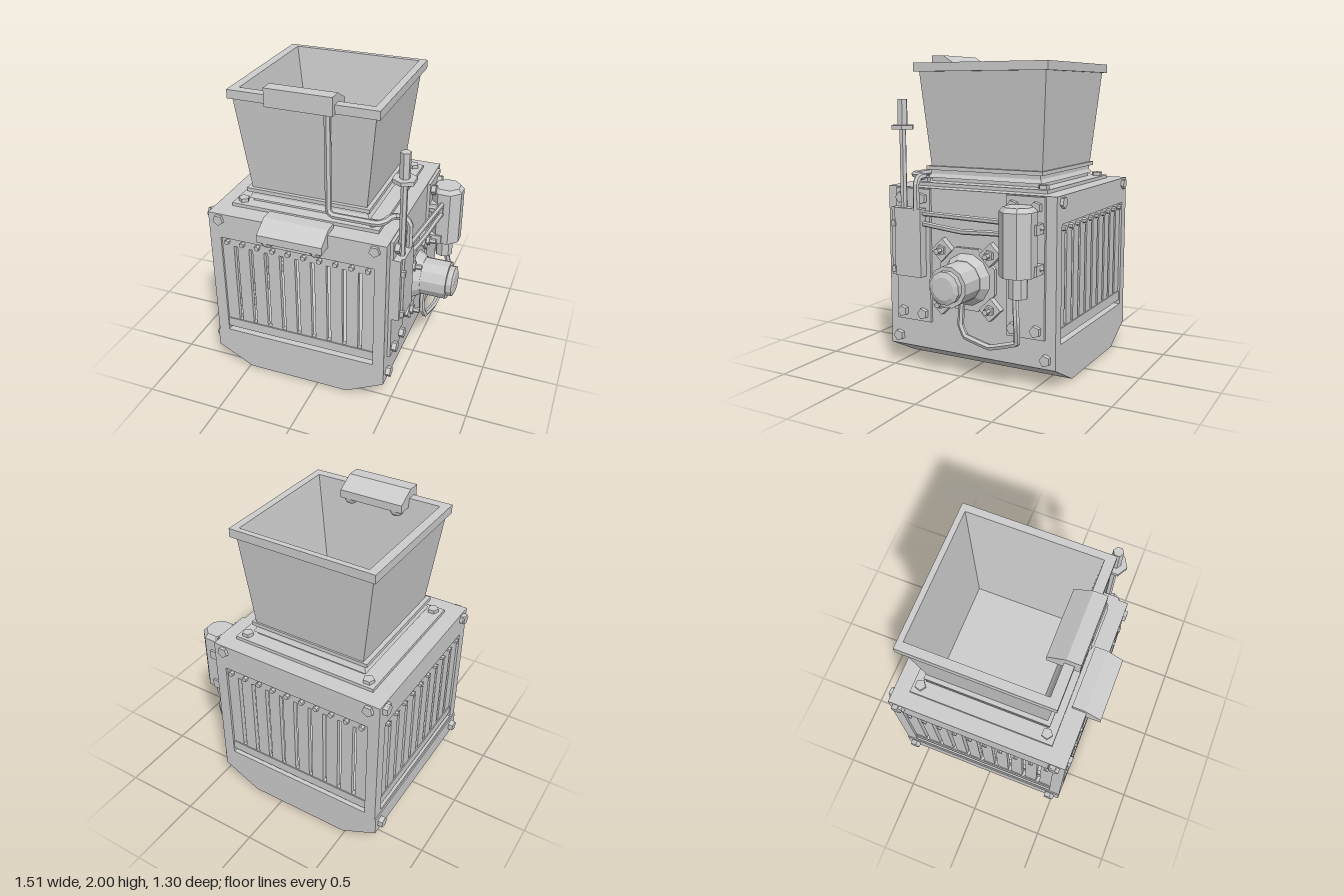
import * as THREE from 'three';

const mat = new THREE.MeshStandardMaterial({ color: 0xcccccc, flatShading: true });
const thin = new THREE.MeshStandardMaterial({ color: 0xcccccc, flatShading: true, side: THREE.DoubleSide });

// Body limits
const X0 = -0.717, X1 = 0.458, Z0 = -0.63, Z1 = 0.55, CX = (X0 + X1) / 2, CZ = (Z0 + Z1) / 2;

function add(parent, name, geo, m = mat) {
  const mesh = new THREE.Mesh(geo, m);
  mesh.name = name;
  parent.add(mesh);
  return mesh;
}

// Box given by its limits
function box(parent, name, x0, x1, y0, y1, z0, z1) {
  const b = add(parent, name, new THREE.BoxGeometry(x1 - x0, y1 - y0, z1 - z0));
  b.position.set((x0 + x1) / 2, (y0 + y1) / 2, (z0 + z1) / 2);
  return b;
}

// Prism or cone whose axis starts at p and points along dir
function rod(parent, name, p, dir, len, r0, r1 = r0, sides = 8) {
  const d = new THREE.Vector3(...dir).normalize();
  const m = add(parent, name, new THREE.CylinderGeometry(r1, r0, len, sides));
  m.quaternion.setFromUnitVectors(new THREE.Vector3(0, 1, 0), d);
  m.position.set(...p).addScaledVector(d, len / 2);
  return m;
}

const bolt = (parent, p, dir, r = 0.036, len = 0.04) => rod(parent, 'bolt', p, dir, len, r, r, r > 0.03 ? 5 : 6);

// Skin through rectangular sections [y, x0, x1, z0, z1], closed at the last one
function loft(sections) {
  const pos = [], idx = [];
  for (const [y, a, b, c, d] of sections) pos.push(a, y, d, b, y, d, b, y, c, a, y, c);
  for (let s = 0; s < sections.length - 1; s++) {
    for (let i = 0; i < 4; i++) {
      const a = s * 4 + i, b = s * 4 + (i + 1) % 4;
      idx.push(a, b, b + 4, a, b + 4, a + 4);
    }
  }
  const e = (sections.length - 1) * 4;
  idx.push(e, e + 1, e + 2, e, e + 2, e + 3);
  const g = new THREE.BufferGeometry();
  g.setAttribute('position', new THREE.Float32BufferAttribute(pos, 3));
  g.setIndex(idx);
  const flat = g.toNonIndexed();
  flat.computeVertexNormals();
  return flat;
}

// Extruded outline, centred along its depth
function extrude(points, depth, holes = []) {
  const shape = new THREE.Shape(points.map(p => new THREE.Vector2(...p)));
  for (const h of holes) shape.holes.push(new THREE.Path(h.map(p => new THREE.Vector2(...p))));
  return new THREE.ExtrudeGeometry(shape, { depth, bevelEnabled: false }).translate(0, 0, -depth / 2);
}

const rect = (x0, x1, y0, y1) => [[x0, y0], [x1, y0], [x1, y1], [x0, y1]];

function hose(parent, name, pts, r) {
  const curve = new THREE.CatmullRomCurve3(pts.map(p => new THREE.Vector3(...p)), false, 'catmullrom', 0.1);
  return add(parent, name, new THREE.TubeGeometry(curve, 60, r, 6), thin);
}

// Slotted side panel, facing +z in its own frame with the body face at z = 0
function grille(parent, name) {
  const g = new THREE.Group();
  g.name = name;
  const slots = [];
  for (let i = 0; i < 9; i++) {
    const x = -0.42 + i * 0.105;
    slots.push(rect(x - 0.013, x + 0.013, 0.37, 0.94));
  }
  add(g, 'slats', extrude(rect(-0.515, 0.515, 0.3, 1.0), 0.03, slots)).position.z = -0.03;
  for (let i = 0; i < 10; i++) bolt(g, [-0.4725 + i * 0.105, 0.972, -0.02], [0, 0, 1], 0.017, 0.03);
  box(g, 'lowerBar', -0.515, 0.515, 0.3, 0.365, -0.05, -0.008);
  box(g, 'sill', -0.515, 0.515, 0.25, 0.272, -0.1, 0);
  box(g, 'sillBack', -0.515, 0.515, 0.25, 0.31, -0.1, -0.075);
  for (const s of [-1, 1]) bolt(g, [s * 0.515, 1.13, -0.01], [0, 0, 1], 0.036, 0.03);
  parent.add(g);
  return g;
}

// Housing with a sloped lid and two lamp domes, reaching towards +z
function lampBox(parent, name) {
  const g = new THREE.Group();
  g.name = name;
  const side = [[0, 0], [0.195, 0], [0.195, 0.05], [0.085, 0.115], [0, 0.115]];
  add(g, 'housing', extrude(side, 0.425)).rotation.y = -Math.PI / 2;
  for (const x of [-0.16, 0.16]) {
    const dome = add(g, 'lampDome', new THREE.SphereGeometry(0.046, 10, 4, 0, Math.PI * 2, Math.PI / 2, Math.PI / 2), thin);
    dome.position.set(x, 0, 0.148);
  }
  parent.add(g);
  return g;
}

export function createModel() {
  const root = new THREE.Group();
  root.name = 'hopperMachine';

  // Base with tapered underside
  const base = add(root, 'base', extrude(
    [[-0.485, 0], [0.205, 0], [0.458, 0.13], [0.458, 0.25], [-0.725, 0.25], [-0.725, 0.125]], Z1 - Z0));
  base.position.z = CZ;

  // Body frame: corner posts, header and solid right wall
  for (const [a, b] of [[X0, X0 + 0.075], [X1 - 0.075, X1]])
    for (const [c, d] of [[Z0, Z0 + 0.075], [Z1 - 0.075, Z1]]) box(root, 'cornerPost', a, b, 0.25, 1.0, c, d);
  box(root, 'header', X0, X1, 1.0, 1.17, Z0, Z1);
  box(root, 'rightWall', X1 - 0.06, X1, 0.25, 1.0, Z0, Z1);

  // Grilles on front, back and the -x side
  grille(root, 'frontGrille').position.set(CX, 0, Z1);
  const back = grille(root, 'backGrille');
  back.rotation.y = Math.PI;
  back.position.set(CX, 0, Z0);
  const side = grille(root, 'sideGrille');
  side.rotation.y = -Math.PI / 2;
  side.position.set(X0, 0, CZ);

  // Bolts on the base sides and on the +x top corners
  for (const z of [0.48, -0.57]) {
    bolt(root, [X0, 0.19, z], [-1, 0, 0]);
    bolt(root, [X1 - 0.01, 0.19, z], [1, 0, 0]);
    bolt(root, [X0, 1.13, z], [-1, 0, 0], 0.036, 0.03);
  }

  // Lid plate with corner bolts, stepped collar
  box(root, 'lidPlate', -0.612, 0.365, 1.17, 1.192, -0.525, 0.425);
  for (const x of [-0.555, 0.31]) for (const z of [0.37, -0.475]) bolt(root, [x, 1.19, z], [0, 1, 0], 0.036, 0.025);
  add(root, 'collar', loft([
    [1.19, -0.5, 0.265, -0.43, 0.345], [1.215, -0.5, 0.265, -0.43, 0.345], [1.215, -0.52, 0.285, -0.45, 0.365],
    [1.24, -0.505, 0.27, -0.435, 0.35], [1.265, -0.505, 0.27, -0.435, 0.35], [1.265, -0.528, 0.288, -0.455, 0.375],
    [1.29, -0.528, 0.288, -0.455, 0.375], [1.29, -0.48, 0.24, -0.42, 0.33], [1.2, -0.42, 0.188, -0.386, 0.27]]));

  // Hopper: outer walls, rim, inner walls and floor in one skin
  add(root, 'hopper', loft([
    [1.285, -0.498, 0.262, -0.443, 0.35], [1.89, -0.572, 0.327, -0.492, 0.395],
    [1.89, -0.595, 0.357, -0.517, 0.42], [1.945, -0.595, 0.357, -0.517, 0.42],
    [1.945, -0.54, 0.31, -0.482, 0.36], [1.205, -0.42, 0.188, -0.386, 0.29]]), thin);

  // Lamp housings: one over the rim facing inwards, one on the body front
  const upper = lampBox(root, 'rimLampBox');
  upper.rotation.y = Math.PI;
  upper.position.set(-0.125, 1.885, 0.455);
  lampBox(root, 'frontLampBox').position.set(-0.125, 1.085, 0.453);

  // Mounting plates on the right wall
  for (const [z0, z1] of [[0.23, 0.483], [-0.563, -0.31]]) {
    box(root, 'mountPlate', X1 - 0.01, X1 + 0.02, 0.31, 1.165, z0, z1);
    for (const z of [z0 + 0.05, z1 - 0.05]) for (const y of [0.365, 1.105]) bolt(root, [X1 + 0.01, y, z], [1, 0, 0]);
  }

  // Motor with stepped rings and four bolted ears
  const my = 0.625, mz = -0.04;
  for (const [name, x, len, r0, r1, n] of [
    ['motorFlange', 0.45, 0.035, 0.21, 0.21, 8], ['motorCone', 0.485, 0.055, 0.165, 0.13, 12],
    ['motorBody', 0.53, 0.18, 0.127, 0.127, 12], ['motorCap', 0.71, 0.035, 0.102, 0.102, 12],
    ['motorCapEnd', 0.745, 0.012, 0.1, 0.07, 12]])
    rod(root, name, [x, my, mz], [1, 0, 0], len, r0, r1, n).rotateY(Math.PI / n);
  for (const sy of [-1, 1]) for (const sz of [-1, 1]) {
    const y = my + sy * 0.17, z = mz + sz * 0.17;
    const ear = box(root, 'motorEar', X1 - 0.01, X1 + 0.045, y - 0.05, y + 0.05, z - 0.055, z + 0.055);
    ear.rotation.x = Math.PI / 4;
    bolt(root, [X1 + 0.04, y, z], [1, 0, 0], 0.034, 0.025);
    rod(root, 'stud', [X1 + 0.06, y, z], [1, 0, 0], 0.045, 0.018, 0.018, 6);
  }

  // Control box with hinges
  box(root, 'controlBox', X1, 0.54, 0.61, 1.045, 0.26, 0.452);
  box(root, 'controlBoxDoor', X1, 0.525, 0.61, 1.045, 0.44, 0.485);
  for (const y of [0.65, 0.945]) box(root, 'hinge', 0.5, 0.55, y - 0.02, y + 0.02, 0.445, 0.47);

  // Mast on the control box
  rod(root, 'mast', [0.505, 1.03, 0.403], [0, 1, 0], 0.52, 0.022, 0.022, 6);
  rod(root, 'mastDisc', [0.505, 1.535, 0.403], [0, 1, 0], 0.025, 0.075, 0.075, 6);
  rod(root, 'mastTip', [0.505, 1.56, 0.403], [0, 1, 0], 0.16, 0.033, 0.033, 6);

  // Tank with neck and wall brackets
  const tank = new THREE.Group();
  tank.name = 'tank';
  tank.position.set(0.57, 0, -0.437);
  root.add(tank);
  const profile = [[0, 0.71], [0.113, 0.71], [0.113, 1.09], [0.088, 1.117], [0, 1.117]];
  add(tank, 'tankBody', new THREE.LatheGeometry(profile.map(p => new THREE.Vector2(...p)), 8)).rotation.y = Math.PI / 8;
  rod(tank, 'tankNeck', [0, 0.58, 0], [0, 1, 0], 0.14, 0.06, 0.06, 8);
  for (const y of [0.745, 0.985]) {
    box(tank, 'bracket', -0.11, 0, y - 0.03, y + 0.03, -0.118, 0.118);
    for (const z of [-0.1, 0.1]) bolt(tank, [-0.1, y, z], [1, 0, 0], 0.024, 0.05);
  }

  // Pipes and hoses
  hose(root, 'straightPipe', [[0.5, 1.015, 0.27], [0.56, 1.015, -0.35]], 0.017);
  hose(root, 'saggingPipe', [[0.5, 0.95, 0.27], [0.52, 0.938, 0.1], [0.53, 0.928, -0.04], [0.545, 0.938, -0.2], [0.56, 0.945, -0.35]], 0.017);
  hose(root, 'motorHose', [[0.54, 0.52, -0.04], [0.535, 0.43, -0.03], [0.54, 0.35, -0.03], [0.55, 0.285, -0.07],
    [0.57, 0.25, -0.25], [0.59, 0.31, -0.44], [0.615, 0.44, -0.45], [0.59, 0.6, -0.43]], 0.02);
  hose(root, 'feedPipe', [[0.04, 1.93, 0.415], [0.04, 1.27, 0.415], [0.07, 1.238, 0.425], [0.35, 1.238, 0.425],
    [0.39, 1.238, 0.38], [0.4, 1.238, 0.33], [0.43, 1.238, 0.3], [0.49, 1.238, 0.3], [0.52, 1.2, 0.3], [0.52, 1.03, 0.3]], 0.021);

  return root;
}
